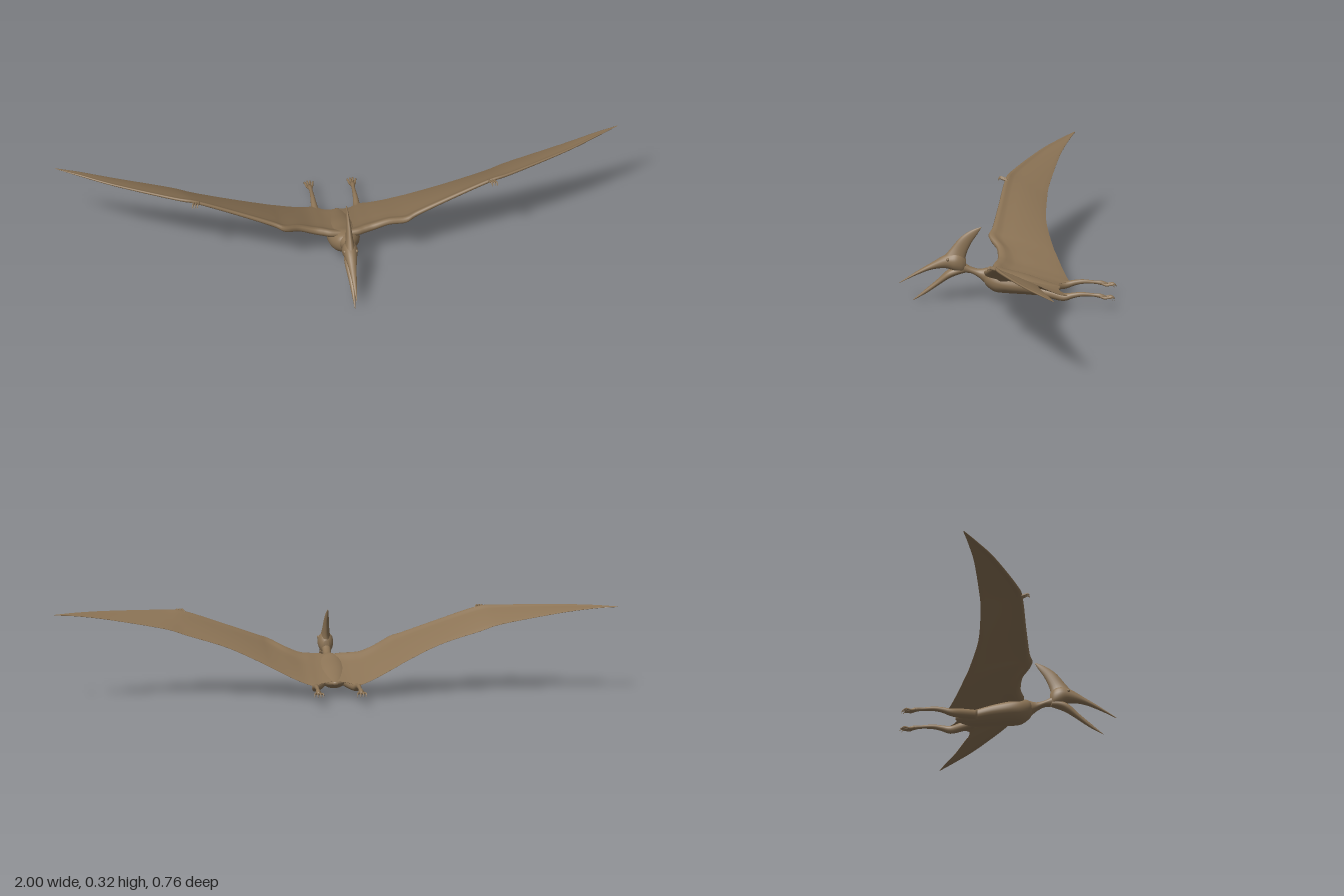
import * as THREE from 'three';

const hide = new THREE.MeshStandardMaterial({ color: 0x8b7355 });
hide.name = 'tan hide';

// Smoothly interpolates rows of numbers, adding steps between each pair
function smooth(rows, steps) {
  const out = [];
  for (let i = 0; i < rows.length - 1; i++) {
    const a = rows[Math.max(0, i - 1)], b = rows[i], c = rows[i + 1], d = rows[Math.min(rows.length - 1, i + 2)];
    for (let k = 0; k < steps; k++) {
      const t = k / steps;
      out.push(b.map((p, j) => p + 0.5 * t * (c[j] - a[j] + t * (2 * a[j] - 5 * p + 4 * c[j] - d[j]
        + t * (3 * (p - c[j]) + d[j] - a[j])))));
    }
  }
  out.push(rows[rows.length - 1]);
  return out;
}

// Skins a list of closed rings of points and caps both ends, always facing outwards
function skin(rings) {
  const n = rings[0].length, pos = rings.flat(2), idx = [];
  for (let i = 0; i < rings.length - 1; i++) {
    for (let j = 0; j < n; j++) {
      const a = i * n + j, b = i * n + (j + 1) % n;
      idx.push(a, b, a + n, b, b + n, a + n);
    }
  }
  const cap = (start, flip) => {
    const centre = [0, 0, 0], c = pos.length / 3;
    for (let j = 0; j < n; j++) for (let k = 0; k < 3; k++) centre[k] += pos[(start + j) * 3 + k] / n;
    pos.push(...centre);
    for (let j = 0; j < n; j++) {
      const a = start + j, b = start + (j + 1) % n;
      if (flip) idx.push(c, b, a); else idx.push(c, a, b);
    }
  };
  cap(0, true);
  cap((rings.length - 1) * n, false);
  const v = (i) => new THREE.Vector3().fromArray(pos, i * 3);
  let volume = 0;
  for (let i = 0; i < idx.length; i += 3) volume += v(idx[i]).dot(v(idx[i + 1]).cross(v(idx[i + 2])));
  if (volume < 0) idx.reverse();
  const g = new THREE.BufferGeometry();
  g.setAttribute('position', new THREE.Float32BufferAttribute(pos, 3));
  g.setIndex(idx);
  g.computeVertexNormals();
  return g;
}

// Elliptical sections: [top z, top y, bottom z, bottom y, half width, centre x]
function profile(rows, side = 1, sides = 18, steps = 5) {
  return skin(smooth(rows, steps).map(([za, ya, zb, yb, w, x = 0]) => {
    const ring = [];
    for (let j = 0; j < sides; j++) {
      const a = j / sides * Math.PI * 2, c = Math.cos(a) / 2;
      ring.push([side * x + w * Math.sin(a), (ya + yb) / 2 + c * (ya - yb), (za + zb) / 2 + c * (za - zb)]);
    }
    return ring;
  }));
}

// Tapered limb: [x, y, z, radius]
function limb(rows, side, sides = 10) {
  return profile(rows.map(([x, y, z, r]) => [z, y + r, z, y - r, r, x]), side, sides, 4);
}

// Wing stations: [x, front y, front z, rear y, rear z, arm radius]
const wingStations = [
  [0, 0.115, 0.055, 0.06, -0.175, 0.014],
  [0.045, 0.118, 0.055, 0.055, -0.185, 0.018],
  [0.075, 0.12, 0.046, 0.05, -0.212, 0.019],
  [0.11, 0.126, 0.04, 0.058, -0.203, 0.018],
  [0.16, 0.147, 0.047, 0.078, -0.184, 0.016],
  [0.215, 0.172, 0.077, 0.104, -0.164, 0.015],
  [0.26, 0.19, 0.065, 0.126, -0.148, 0.012],
  [0.38, 0.235, 0.048, 0.178, -0.121, 0.01],
  [0.52, 0.284, 0.03, 0.222, -0.119, 0.009],
  [0.6, 0.293, 0.008, 0.248, -0.125, 0.007],
  [0.8, 0.306, -0.08, 0.288, -0.153, 0.005],
  [0.92, 0.312, -0.148, 0.307, -0.18, 0.004],
  [1, 0.315, -0.197, 0.314, -0.2, 0.001],
];

// Round arm bone along the front edge, thinning into a membrane
function wing(side) {
  const arm = [[0, 0], [0.3, 0.7], [1, 1], [1.8, 0.75], [2.6, 0.4], [3.6, 0.18]];
  return skin(smooth(wingStations, 5).map(([x, yf, zf, yr, zr, r0]) => {
    const chord = Math.hypot(zf - zr, yf - yr), r = Math.min(r0, chord / 8);
    const line = arm.map(([s, h]) => [s * r / chord, h * r * 0.8]);
    const start = line[line.length - 1][0];
    for (let k = 1; k <= 6; k++) {
      line.push([start + (1 - start) * k / 6, THREE.MathUtils.lerp(r * 0.16, 0.0008, k / 6)]);
    }
    const bow = 0.12 * chord * Math.min(1, x / 0.3);
    const at = ([u, h], s) => [side * x, THREE.MathUtils.lerp(yf, yr, u) + bow * u * (1 - u) + s * h,
      THREE.MathUtils.lerp(zf, zr, u)];
    return [...line.map((p) => at(p, 1)), ...line.slice(1).reverse().map((p) => at(p, -1))];
  }));
}

export function createModel() {
  const model = new THREE.Group();
  model.name = 'flyingReptile';
  const add = (name, geometry, parent = model) => {
    const mesh = new THREE.Mesh(geometry, hide);
    mesh.name = name;
    parent.add(mesh);
    return mesh;
  };

  add('body', profile([
    [0.085, 0.11, 0.088, 0.08, 0.012], [0.072, 0.123, 0.075, 0.058, 0.034], [0.04, 0.126, 0.045, 0.038, 0.052],
    [0, 0.115, 0, 0.034, 0.058], [-0.06, 0.1, -0.06, 0.031, 0.053], [-0.12, 0.08, -0.12, 0.027, 0.042],
    [-0.16, 0.066, -0.16, 0.036, 0.028], [-0.185, 0.058, -0.185, 0.047, 0.008],
  ], 1, 24));
  add('neck', profile([
    [0.172, 0.155, 0.165, 0.105, 0.017], [0.135, 0.129, 0.13, 0.103, 0.014], [0.1, 0.119, 0.102, 0.087, 0.015],
    [0.07, 0.124, 0.076, 0.065, 0.025], [0.03, 0.124, 0.04, 0.05, 0.036],
  ]));

  // Head
  add('skullAndUpperBeak', profile([
    [0.383, 0.066, 0.382, 0.064, 0.001], [0.32, 0.109, 0.325, 0.093, 0.008], [0.27, 0.14, 0.27, 0.115, 0.014],
    [0.225, 0.168, 0.22, 0.121, 0.022], [0.19, 0.18, 0.185, 0.11, 0.028], [0.165, 0.175, 0.16, 0.106, 0.022],
    [0.148, 0.155, 0.148, 0.115, 0.01],
  ]));
  add('crest', profile([
    [0.226, 0.164, 0.147, 0.13, 0.022], [0.2, 0.196, 0.149, 0.165, 0.014], [0.168, 0.235, 0.132, 0.21, 0.009],
    [0.13, 0.261, 0.109, 0.246, 0.005], [0.095, 0.274, 0.094, 0.271, 0.001],
  ]));
  add('lowerJaw', profile([
    [0.336, 0.002, 0.336, 0, 0.001], [0.29, 0.043, 0.29, 0.026, 0.007], [0.25, 0.078, 0.245, 0.058, 0.013],
    [0.215, 0.112, 0.205, 0.085, 0.02], [0.185, 0.125, 0.175, 0.098, 0.02], [0.16, 0.13, 0.15, 0.105, 0.014],
  ]));

  for (const side of [1, -1]) {
    const label = side > 0 ? 'left' : 'right';
    const eye = add(label + 'Eye', new THREE.SphereGeometry(0.006, 12, 8));
    eye.position.set(side * 0.021, 0.158, 0.212);
    add(label + 'Wing', wing(side));

    // Small clawed fingers at the bend of the wing
    const hand = new THREE.Group();
    hand.name = label + 'Hand';
    model.add(hand);
    for (let i = 0; i < 3; i++) {
      const x = 0.515 + i * 0.009;
      add('finger', limb([[x, 0.283, 0.02, 0.005], [x + 0.004, 0.288, 0.038, 0.004],
        [x + 0.008, 0.29, 0.048, 0.003], [x + 0.01, 0.281, 0.055, 0.0007]], side, 8), hand);
    }

    add(label + 'Leg', limb([
      [0.035, 0.052, -0.11, 0.016], [0.055, 0.046, -0.16, 0.017], [0.072, 0.041, -0.2, 0.014],
      [0.075, 0.049, -0.235, 0.01], [0.075, 0.053, -0.265, 0.008], [0.075, 0.051, -0.305, 0.006],
      [0.076, 0.048, -0.33, 0.008], [0.076, 0.043, -0.35, 0.005],
    ], side, 14));

    // Spread toes with hooked claws
    const foot = new THREE.Group();
    foot.name = label + 'Foot';
    model.add(foot);
    for (let i = 0; i < 4; i++) {
      const spread = (i - 1.5) * 0.009, x = 0.076, reach = i === 0 || i === 3 ? 0.006 : 0;
      add('toe', limb([[x + spread * 0.3, 0.047, -0.328, 0.005], [x + spread * 0.7, 0.042, -0.35 + reach, 0.004],
        [x + spread, 0.045, -0.368 + reach, 0.0035], [x + spread * 1.15, 0.042, -0.377 + reach, 0.002],
        [x + spread * 1.2, 0.033, -0.38 + reach, 0.0006]], side, 8), foot);
    }
  }
  return model;
}
